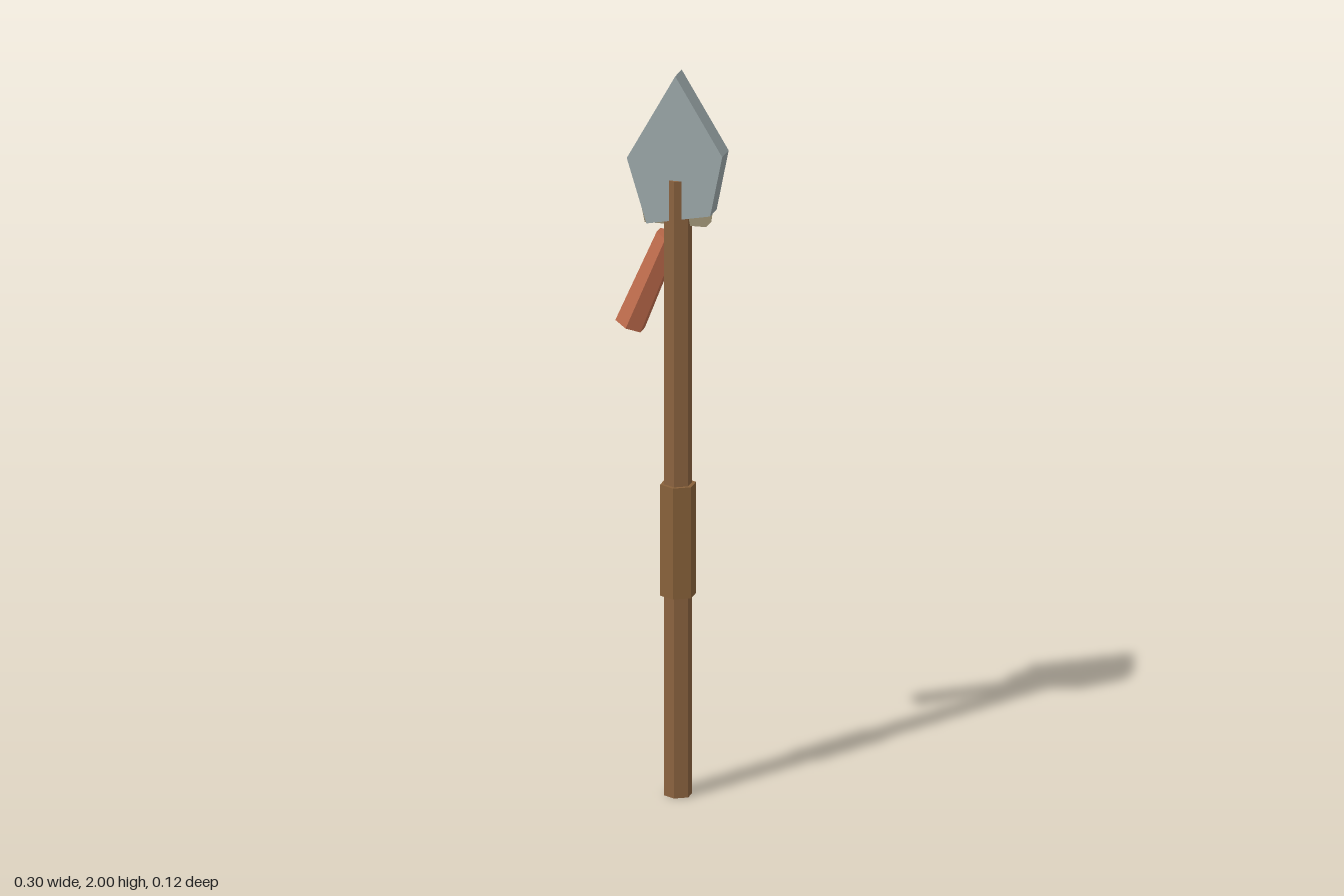
import * as THREE from 'three';

const mat = (name, color) => {
  const m = new THREE.MeshStandardMaterial({ color, flatShading: true });
  m.name = name;
  return m;
};

export function createModel() {
  const group = new THREE.Group();
  const wood = mat('shaft wood', 0x8a623f);
  const wrap = mat('grip brown', 0x88613a);
  const stone = mat('stone grey', 0x9aa6a8);
  const cord = mat('binding beige', 0xcfc19a);
  const red = mat('tassel red', 0xc06c4c);

  // Six-sided rod running from point a to point b
  const rod = (name, a, b, ra, rb, material) => {
    const from = new THREE.Vector3(...a), to = new THREE.Vector3(...b);
    const dir = to.clone().sub(from);
    const mesh = new THREE.Mesh(new THREE.CylinderGeometry(rb, ra, dir.length(), 6), material);
    mesh.position.copy(from).add(to).multiplyScalar(0.5);
    mesh.quaternion.setFromUnitVectors(new THREE.Vector3(0, 1, 0), dir.normalize());
    mesh.name = name;
    group.add(mesh);
  };

  rod('shaft', [0.021, 0, 0.012], [0.021, 1.71, 0.012], 0.038, 0.038, wood);
  rod('grip', [0.021, 0.555, 0.012], [0.021, 0.863, 0.012], 0.049, 0.049, wrap);
  rod('binding', [-0.071, 1.623, -0.013], [0.098, 1.623, -0.013], 0.05, 0.05, cord);
  rod('tassel', [-0.118, 1.285, -0.013], [-0.011, 1.541, -0.012], 0.043, 0.036, red);

  // Chipped, slightly lopsided blade
  const outline = [[0.021, 2], [-0.112, 1.762], [-0.058, 1.585], [0.117, 1.62], [0.15, 1.787]];
  const shape = new THREE.Shape(outline.map(([x, y]) => new THREE.Vector2(x, y)));
  const blade = new THREE.Mesh(
    new THREE.ExtrudeGeometry(shape, { depth: 0.062, bevelEnabled: false }), stone);
  blade.position.z = -0.022;
  blade.name = 'blade';
  group.add(blade);

  return group;
}
